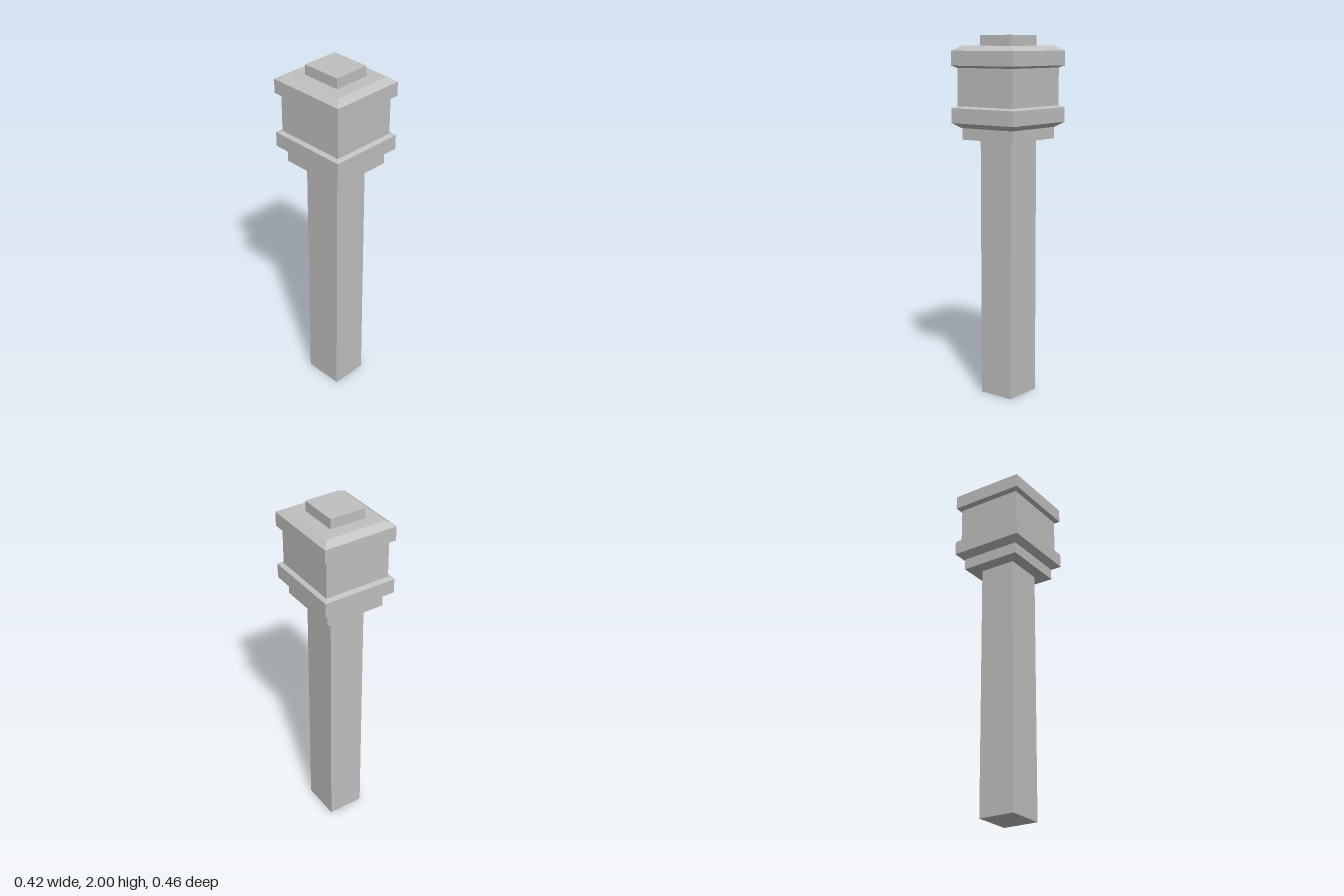
import * as THREE from 'three';

const DEPTH_RATIO = 1.09; // the plan is slightly deeper than wide

// Closed four-sided solid from [half width, height] pairs, bottom to top
function squareTurned(name, profile, material) {
  const points = [[0, profile[0][1]], ...profile, [0, profile[profile.length - 1][1]]]
    .map(([half, y]) => new THREE.Vector2(half * Math.SQRT2, y));
  const geometry = new THREE.LatheGeometry(points, 4, Math.PI / 4)
    .scale(1, 1, DEPTH_RATIO)
    .toNonIndexed();
  geometry.computeVertexNormals();
  const mesh = new THREE.Mesh(geometry, material);
  mesh.name = name;
  return mesh;
}

export function createModel() {
  const stone = new THREE.MeshStandardMaterial({ color: 0xc0c0c0 });
  stone.name = 'grey stone';
  stone.flatShading = true;

  const group = new THREE.Group();
  group.name = 'chimneyPost';

  const parts = {
    shaft: [[0.104, 0], [0.104, 1.44]],
    collar: [[0.172, 1.44], [0.172, 1.503]],
    // Moulding flares out from the collar and slopes back to the block
    lowerMoulding: [[0.174, 1.503], [0.211, 1.53], [0.211, 1.611], [0.188, 1.621]],
    block: [[0.188, 1.621], [0.188, 1.826]],
    // Cap with a small undercut and a bevelled top
    cap: [[0.188, 1.826], [0.211, 1.838], [0.211, 1.917], [0.174, 1.943]],
    finial: [[0.104, 1.943], [0.104, 2]],
  };
  for (const [name, profile] of Object.entries(parts)) {
    group.add(squareTurned(name, profile, stone));
  }
  return group;
}
